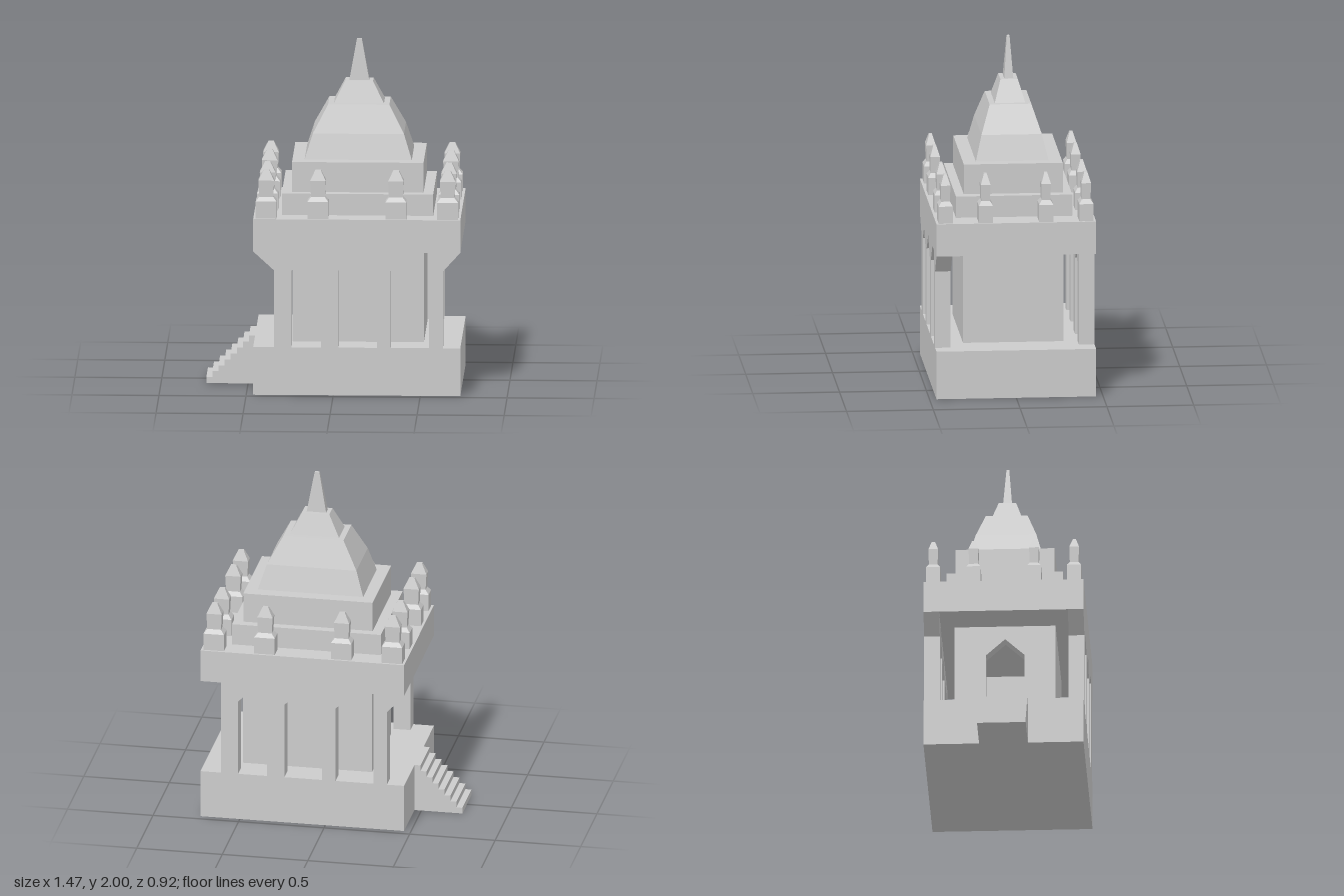
import * as THREE from 'three';

const CX = 0.135; // centre of the building; the stairs extend to -x
const mat = new THREE.MeshStandardMaterial({ color: 0xcccccc, flatShading: true });

function add(parent, name, geometry, x = 0, y = 0, z = 0) {
  const mesh = new THREE.Mesh(geometry, mat);
  mesh.name = name;
  mesh.position.set(x, y, z);
  parent.add(mesh);
  return mesh;
}

// Box from its extents, standing at height y0
function block(parent, name, x0, x1, y0, y1, z0, z1) {
  return add(parent, name, new THREE.BoxGeometry(x1 - x0, y1 - y0, z1 - z0),
    (x0 + x1) / 2, (y0 + y1) / 2, (z0 + z1) / 2);
}

// Stack of rectangular sections [y, halfWidth, halfDepth], closed at both ends
function rectLoft(sections) {
  const pos = [], idx = [];
  for (const [y, w, d] of sections) pos.push(-w, y, d, w, y, d, w, y, -d, -w, y, -d);
  for (let s = 0; s < sections.length - 1; s++) {
    for (let i = 0; i < 4; i++) {
      const a = s * 4 + i, b = s * 4 + (i + 1) % 4;
      idx.push(a, b, b + 4, a, b + 4, a + 4);
    }
  }
  const t = (sections.length - 1) * 4;
  idx.push(0, 2, 1, 0, 3, 2, t, t + 1, t + 2, t, t + 2, t + 3);
  const g = new THREE.BufferGeometry();
  g.setAttribute('position', new THREE.Float32BufferAttribute(pos, 3));
  g.setIndex(idx);
  const flat = g.toNonIndexed();
  flat.computeVertexNormals();
  return flat;
}

function extrude(points, depth) {
  const shape = new THREE.Shape(points.map(([x, y]) => new THREE.Vector2(x, y)));
  return new THREE.ExtrudeGeometry(shape, { depth, bevelEnabled: false });
}

// Arcade outline relative to CX: two pointed arches and one half arch
function arcade(outerCorbel) {
  const start = outerCorbel
    ? [[-0.475, 0.28], [-0.475, 0.73], [-0.595, 0.84], [-0.595, 0.85]]
    : [[-0.475, 0.28], [-0.475, 0.85]];
  return extrude([
    ...start,
    [0.595, 0.85], [0.595, 0.84], [0.495, 0.73], [0.495, 0.28],
    [0.415, 0.28], [0.415, 0.838], [0.305, 0.838], [0.195, 0.73], [0.195, 0.28],
    [0.115, 0.28], [0.115, 0.73], [0.005, 0.832], [-0.105, 0.73], [-0.105, 0.28],
    [-0.205, 0.28], [-0.205, 0.73], [-0.29, 0.81], [-0.375, 0.73], [-0.375, 0.28],
  ], 0.09);
}

export function createModel() {
  const model = new THREE.Group();
  model.name = 'pavilion';

  // Plinth and stairs
  block(model, 'plinth', -0.46, 0.73, 0, 0.28, -0.46, 0.46);
  const steps = [[-0.46, 0]];
  for (let i = 0; i < 8; i++) {
    const x = -0.46 - i * 0.035, y = 0.28 - i * 0.035;
    steps.push([x, y], [x - 0.035, y]);
  }
  steps.push([-0.74, 0]);
  add(model, 'stairs', extrude(steps, 0.28), 0, 0, -0.14);

  // Arcades; the back one is the front one turned half round
  add(model, 'frontArcade', arcade(true), CX, 0, 0.37);
  add(model, 'backArcade', arcade(false), CX, 0, -0.37).rotation.y = Math.PI;

  // Inner chamber with a doorway facing the stairs
  const chamber = new THREE.Group();
  chamber.name = 'chamber';
  model.add(chamber);
  block(chamber, 'chamberFarWall', 0.44, 0.515, 0.28, 0.84, -0.29, 0.29);
  for (const s of [-1, 1]) {
    add(chamber, 'chamberSideWall', new THREE.BoxGeometry(0.61, 0.56, 0.07), CX, 0.56, s * 0.255);
  }
  const door = extrude([
    [-0.29, 0.28], [-0.11, 0.28], [-0.11, 0.66], [0, 0.76], [0.11, 0.66], [0.11, 0.28],
    [0.29, 0.28], [0.29, 0.84], [-0.29, 0.84],
  ], 0.075);
  add(chamber, 'doorWall', door, -0.24, 0, 0).rotation.y = Math.PI / 2;

  // Entablature and stepped roof
  block(model, 'entablature', -0.46, 0.73, 0.84, 1.03, -0.46, 0.46);
  block(model, 'lowerRoofTier', -0.3, 0.57, 1.03, 1.155, -0.335, 0.335);
  block(model, 'upperRoofTier', -0.243, 0.513, 1.155, 1.33, -0.285, 0.285);
  add(model, 'dome', rectLoft([[1.33, 0.308, 0.21], [1.475, 0.262, 0.174], [1.635, 0.176, 0.12]]), CX);
  add(model, 'domeCap', rectLoft([[1.635, 0.144, 0.088], [1.76, 0.08, 0.05]]), CX);
  add(model, 'spire', rectLoft([[1.76, 0.057, 0.026], [2, 0.014, 0.008]]), CX);

  // Pinnacles around the roof edge
  const pinnacle = rectLoft([
    [1.03, 0.06, 0.041], [1.13, 0.06, 0.041], [1.155, 0.04, 0.025],
    [1.25, 0.045, 0.028], [1.31, 0.016, 0.009],
  ]);
  for (const sx of [-1, 1]) {
    for (const sz of [-1, 1]) {
      for (const [x, z] of [[0.521, 0.405], [0.224, 0.405], [0.521, 0.174]]) {
        add(model, 'pinnacle', pinnacle, CX + sx * x, 0, sz * z);
      }
    }
  }
  return model;
}
